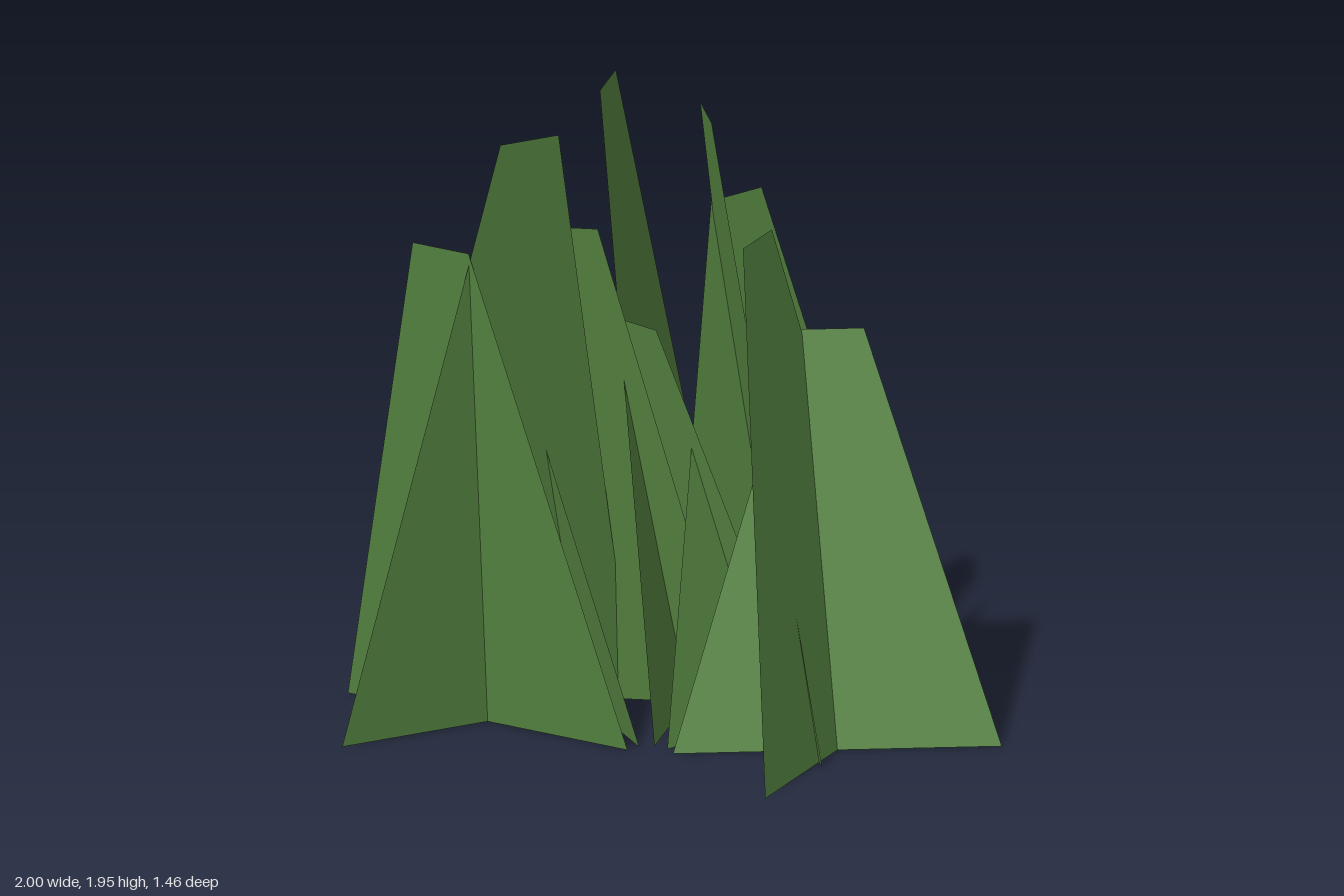
import * as THREE from 'three';

const leafGreen = new THREE.MeshStandardMaterial({ color: 0x5a8a44, side: THREE.DoubleSide });
leafGreen.name = 'leafGreen';

const HEIGHTS = [1.26, 1.6, 1.95];
const LEAN = 0.27;

// Flat tapered blade: 1 wide at the ground, 0.2 wide at the tip, leaning towards -z
function bladeGeometry(height) {
  const geo = new THREE.PlaneGeometry(1, height).translate(0, height / 2, 0);
  const pos = geo.attributes.position;
  for (let i = 0; i < pos.count; i++) {
    if (pos.getY(i) > height / 2) {
      pos.setX(i, pos.getX(i) * 0.2);
      pos.setZ(i, -LEAN);
    }
  }
  geo.computeVertexNormals();
  return geo;
}

export function createModel() {
  const model = new THREE.Group();
  model.name = 'grassClump';
  const geometries = HEIGHTS.map(bladeGeometry);

  // Five tufts on an arc, each of two blades crossing at 60 degrees
  for (let i = 0; i < 5; i++) {
    const angle = (i * Math.PI) / 5;
    const tuft = new THREE.Group();
    tuft.name = 'tuft' + (i + 1);
    tuft.position.set(-0.08 + 0.575 * Math.cos(angle), 0, 0.292 - 0.575 * Math.sin(angle));
    tuft.rotation.y = angle;
    for (let j = 0; j < 2; j++) {
      const blade = new THREE.Mesh(geometries[(i + j) % 3], leafGreen);
      blade.name = 'blade' + (j + 1);
      blade.rotation.y = (j * Math.PI) / 3;
      tuft.add(blade);
    }
    model.add(tuft);
  }
  return model;
}
